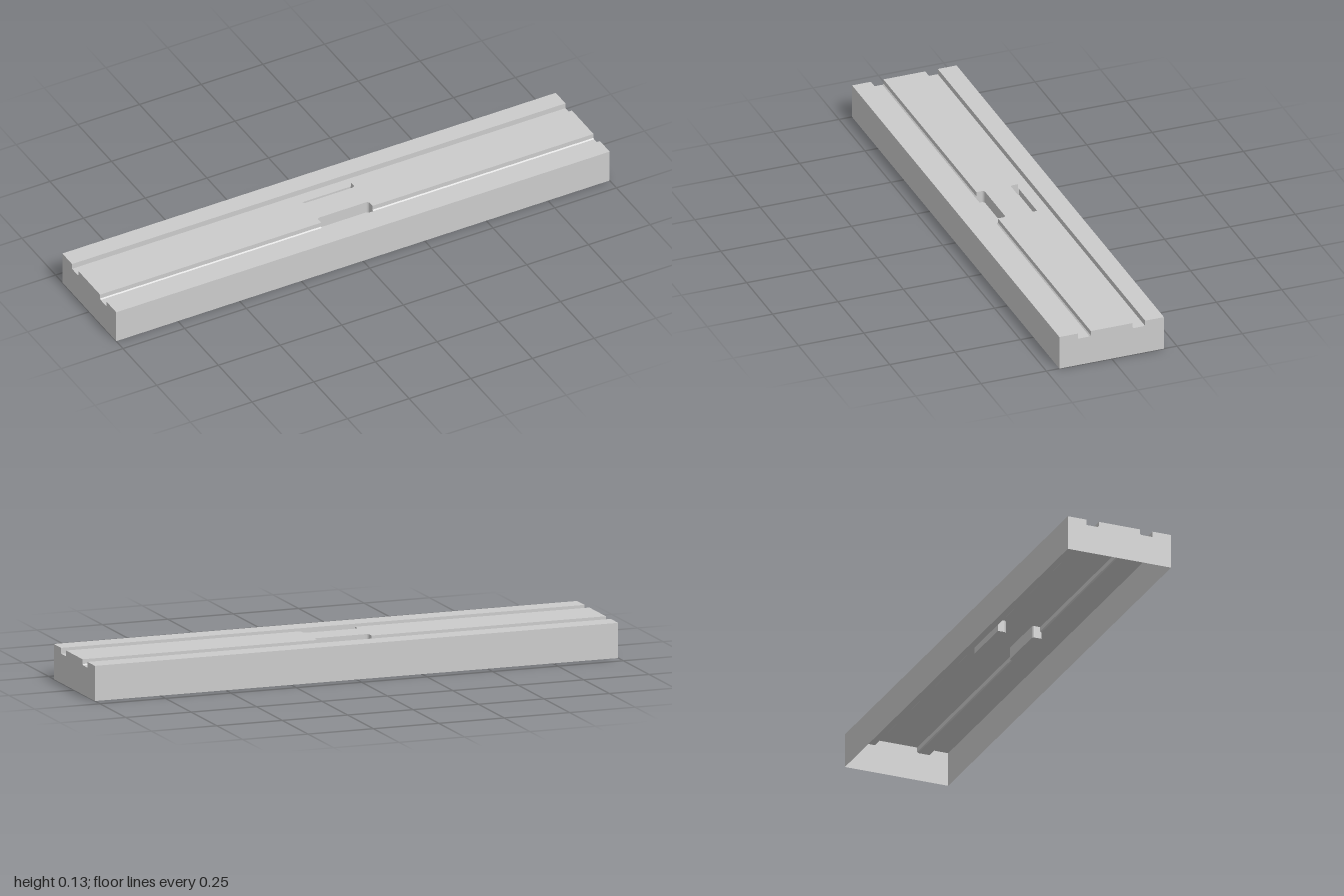
import * as THREE from 'three';

const TOP = 0.128, FLOOR = 0.107, POCKET = 0.083; // heights of top, groove floor, pocket floor
const RIDGE = 0.08, FOOT = 0.084, LIP = 0.128, SIDE = 0.2; // z positions across one half
const PX = 0.104, PZ = 0.05, R = 0.01; // pocket half length, inner edge, corner radius

const material = new THREE.MeshStandardMaterial({ color: 0xcccccc, side: THREE.DoubleSide });

function addMesh(group, name, geometry) {
  const mesh = new THREE.Mesh(geometry, material);
  mesh.name = name;
  group.add(mesh);
}

// Flat-shaded strip of quads between two polylines of [x, y, z]
function loft(a, b) {
  const pos = [];
  for (let i = 0; i < a.length - 1; i++) {
    pos.push(...a[i], ...a[i + 1], ...b[i + 1], ...a[i], ...b[i + 1], ...b[i]);
  }
  const g = new THREE.BufferGeometry();
  g.setAttribute('position', new THREE.Float32BufferAttribute(pos, 3));
  g.computeVertexNormals();
  return g;
}

// Sweep a section of [z, y] points along x
function sweep(section, x0, x1) {
  const at = x => section.map(([z, y]) => [x, y, z]);
  return loft(at(x0), at(x1));
}

// Horizontal upward face from [x, z] points
function plate(points, y) {
  const shape = new THREE.Shape(points.map(([x, z]) => new THREE.Vector2(x, -z)));
  return new THREE.ShapeGeometry(shape).rotateX(-Math.PI / 2).translate(0, y, 0);
}

// Pocket edge from the ridge edge at +x, round the inner corners, to the ridge edge at -x
function pocketEdge() {
  const right = [[PX, RIDGE]];
  for (let i = 0; i <= 4; i++) {
    const t = (i / 4) * Math.PI / 2;
    right.push([PX - R + R * Math.cos(t), PZ + R - R * Math.sin(t)]);
  }
  const left = right.map(([x, z]) => [-x, z]).reverse();
  return [...right, ...left];
}

// Everything on the +z side of the centre line
function createHalf() {
  const half = new THREE.Group();
  const edge = pocketEdge();
  const step = RIDGE;
  const groove = [[step, TOP], [step, FLOOR + 0.004], [FOOT, FLOOR]];

  // Central ridge with the pocket bitten out of its edge
  addMesh(half, 'ridgeTop', plate([[-1, 0], [1, 0], [1, RIDGE], ...edge, [-1, RIDGE]], TOP));
  addMesh(half, 'ridgeWallLeft', sweep(groove, PX, 1));
  addMesh(half, 'ridgeWallRight', sweep(groove, -1, -PX));

  // Groove floor, outer rail and long side wall
  addMesh(half, 'grooveAndSide', sweep(
    [[FOOT, FLOOR], [LIP, FLOOR], [LIP, TOP], [SIDE, TOP], [SIDE, 0]], -1, 1));

  // Pocket walls and floor
  const rim = [
    [PX, FLOOR, FOOT], [PX, FLOOR + 0.004, RIDGE],
    ...edge.map(([x, z]) => [x, TOP, z]),
    [-PX, FLOOR + 0.004, RIDGE], [-PX, FLOOR, FOOT], [PX, FLOOR, FOOT],
  ];
  addMesh(half, 'pocketWall', loft(rim, rim.map(([x, , z]) => [x, POCKET, z])));
  addMesh(half, 'pocketFloor', plate([[PX, FOOT], ...edge, [-PX, FOOT]], POCKET));

  // End walls following the grooved section
  const section = [[0, 0], [0, TOP], ...groove, [LIP, FLOOR], [LIP, TOP], [SIDE, TOP], [SIDE, 0]];
  for (const s of [1, -1]) {
    const shape = new THREE.Shape(section.map(([z, y]) => new THREE.Vector2(-s * z, y)));
    addMesh(half, s > 0 ? 'endWallLeft' : 'endWallRight',
      new THREE.ShapeGeometry(shape).rotateY(s * Math.PI / 2).translate(s, 0, 0));
  }
  return half;
}

export function createModel() {
  const model = new THREE.Group();
  model.name = 'groovedTrackBase';
  const front = createHalf();
  front.name = 'frontHalf';
  const back = createHalf();
  back.name = 'backHalf';
  back.scale.z = -1;
  model.add(front, back);
  return model;
}
